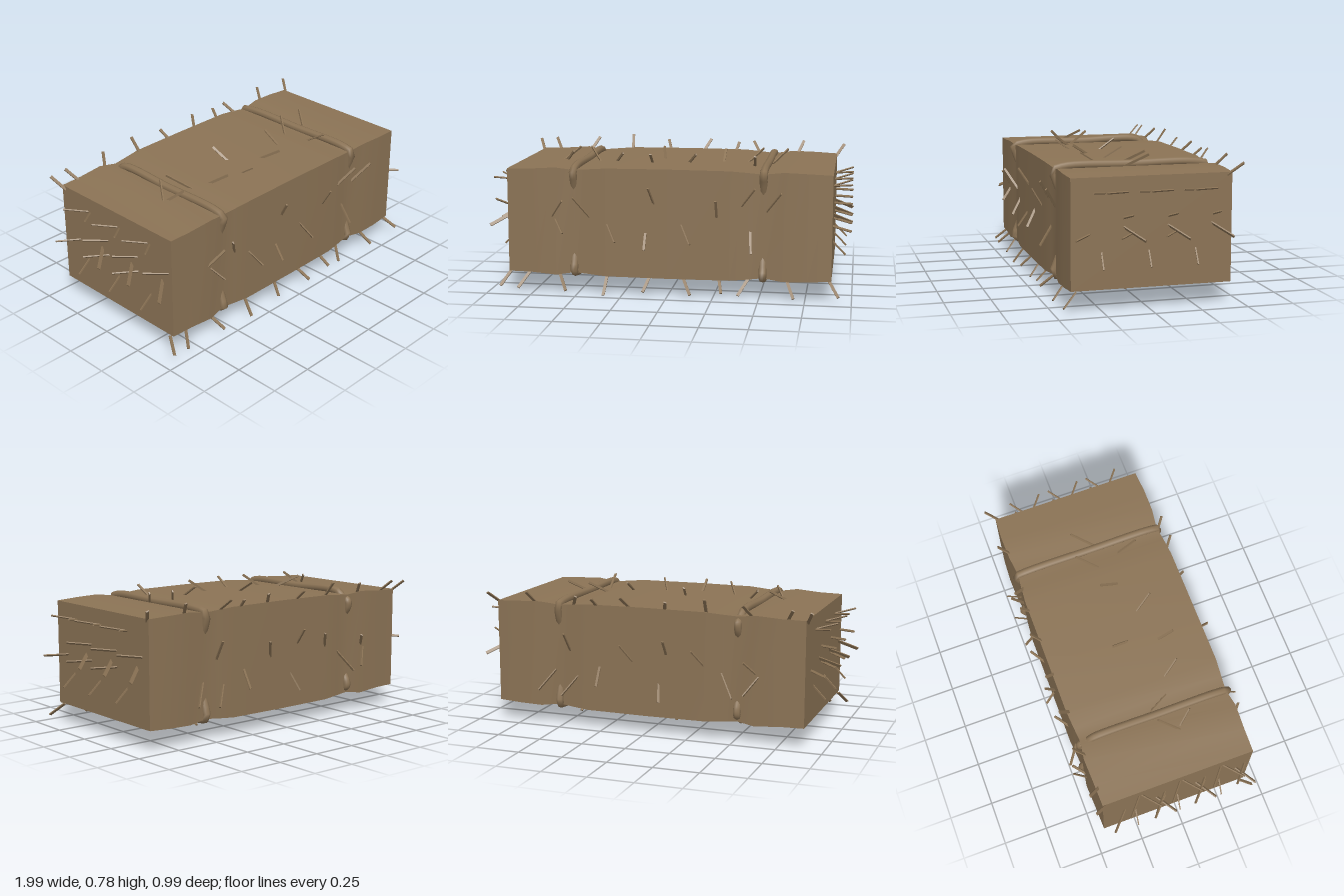
import * as THREE from 'three';
import { mergeGeometries } from 'three/addons/utils/BufferGeometryUtils.js';

const CY = 0.405, CZ = -0.015; // centre of the bale
const UP = new THREE.Vector3(0, 1, 0);

// Bale outline along its length: [x, half height, half depth]
const PROFILE = [
  [-0.89, 0.288, 0.428], [-0.76, 0.29, 0.431], [-0.62, 0.3, 0.436], [-0.52, 0.286, 0.42],
  [-0.44, 0.292, 0.427], [-0.34, 0.3, 0.435], [0, 0.302, 0.435], [0.34, 0.3, 0.435],
  [0.44, 0.292, 0.427], [0.52, 0.284, 0.418], [0.63, 0.298, 0.432], [0.76, 0.294, 0.435], [0.89, 0.288, 0.428],
];

// Straws on a long side: [x, y of one end, x, y of the other], seen from the front
const SIDE_STRAWS = [
  [-0.095, 0.61, -0.07, 0.5], [-0.51, 0.55, -0.43, 0.43], [-0.57, 0.53, -0.65, 0.42],
  [-0.63, 0.43, -0.57, 0.35], [-0.34, 0.41, -0.28, 0.31], [-0.12, 0.37, -0.12, 0.27],
  [0.07, 0.42, 0.13, 0.31], [0.27, 0.55, 0.27, 0.43], [0.48, 0.62, 0.4, 0.51],
  [0.62, 0.6, 0.54, 0.49], [0.45, 0.38, 0.46, 0.27],
];

// Straws on an end, repeated in three columns: [z, y, z, y, width]
const END_STRAWS = [
  [0.32, 0.63, 0.22, 0.605, 0.008], [0.14, 0.63, 0.235, 0.605, 0.008], [0.17, 0.5, 0.07, 0.488, 0.012],
  [0.41, 0.395, 0.3, 0.405, 0.012], [0.05, 0.375, 0.145, 0.44, 0.018],
];

// A thin flat stalk between two points
function straw(a, b, width = 0.013) {
  const p = new THREE.Vector3(...a), q = new THREE.Vector3(...b);
  const dir = q.clone().sub(p);
  const g = new THREE.BoxGeometry(width, dir.length(), 0.007);
  g.applyQuaternion(new THREE.Quaternion().setFromUnitVectors(UP, dir.normalize()));
  return g.translate(...p.add(q).multiplyScalar(0.5).toArray());
}

function baleGeometry() {
  const n = PROFILE.length - 1;
  const g = new THREE.BoxGeometry(n, 2, 2, n, 1, 1);
  const pos = g.attributes.position;
  for (let i = 0; i < pos.count; i++) {
    const [x, h, d] = PROFILE[Math.round(pos.getX(i) + n / 2)];
    pos.setXYZ(i, x, CY + pos.getY(i) * h, CZ + pos.getZ(i) * d);
  }
  g.computeVertexNormals();
  return g;
}

export function createModel() {
  const model = new THREE.Group();
  model.name = 'hayBale';
  const hay = new THREE.MeshStandardMaterial({ color: 0x8b7355 });
  hay.name = 'hay brown';
  const add = (name, geometry) => {
    const mesh = new THREE.Mesh(geometry, hay);
    mesh.name = name;
    model.add(mesh);
    return mesh;
  };

  add('bale', baleGeometry());

  // Twine: visible over the top and bottom, sinking into the front and back
  const twine = (name, x, points) => {
    const path = new THREE.CatmullRomCurve3(points.map(([z, y]) => new THREE.Vector3(x, y, z)), false, 'centripetal');
    add(name, new THREE.TubeGeometry(path, 32, 0.022, 8));
  };
  for (const s of [1, -1]) {
    const y = (d) => CY + s * d;
    const side = s > 0 ? 'top' : 'bottom';
    const front = [[0.375, y(0.16)], [0.405, y(0.24)], [0.415, y(0.275)], [0.35, y(0.296)], [0, y(0.296)]];
    twine(side + 'TwineLeft', 0.52, [...front, [-0.36, y(0.296)], [-0.44, y(0.278)], [-0.437, y(0.24)], [-0.405, y(0.16)]]);
    twine(side + 'TwineRight', -0.52, [...front, [-0.355, y(0.296)], [-0.4, y(0.26)]]);
    twine(side + 'TwineHook', -0.52, [[-0.39, y(0.27)], [-0.437, y(0.25)], [-0.437, y(0.22)], [-0.4, y(0.16)]]);
  }

  // Straws on the four long sides: the same pattern turned about the bale's length
  ['frontStraws', 'topStraws', 'backStraws', 'bottomStraws'].forEach((name, k) => {
    const out = k % 2 ? 0.302 : 0.435;
    const stalks = SIDE_STRAWS.map(([x1, y1, x2, y2]) => {
      const shift = k % 2 ? 0.13 : 0; // lengthwise rows sit off centre on top and bottom
      const a = [x1, y1 - CY - shift, out - 0.015], b = [x2, y2 - CY - shift, out - 0.015];
      (y1 > 0.5 ? a : b)[2] = out + 0.055;
      return straw(a, b);
    });
    const mesh = add(name, mergeGeometries(stalks));
    mesh.rotation.x = -k * Math.PI / 2;
    mesh.position.set(0, CY, CZ);
  });

  // Straws on both ends
  const endStalks = [];
  for (const shift of [0, -0.235, -0.47]) {
    for (const [z1, y1, z2, y2, w] of END_STRAWS) {
      endStalks.push(straw([0.99, y1 - CY, z1 + shift], [0.87, y2 - CY, z2 + shift], w));
    }
  }
  // Lower stalks that droop
  for (const z of [-0.25, 0, 0.25]) endStalks.push(straw([0.87, -0.08, z], [0.96, -0.17, z + 0.01], 0.008));
  for (const [name, turn] of [['leftEndStraws', 0], ['rightEndStraws', Math.PI]]) {
    const mesh = add(name, mergeGeometries(endStalks));
    mesh.rotation.y = turn;
    mesh.position.y = CY;
  }

  // Stalks sticking out along the top back and bottom front edges
  const edge = [-0.89, -0.78, -0.61, -0.34, -0.1, 0.08, 0.28, 0.44, 0.65, 0.88].map((x, i) => {
    const lean = [-0.04, -0.05, 0.05, -0.01, -0.03, 0.05, 0.02, -0.05, 0.04, 0.05][i];
    const reach = i === 3 ? 0.085 : 0.05 + (i % 3) * 0.008;
    return straw([x, 0.27, -0.40], [x + lean, 0.288 + reach, -0.475], 0.016);
  });
  for (const [name, turn] of [['topBackEdgeStraws', 0], ['bottomFrontEdgeStraws', Math.PI]]) {
    const mesh = add(name, mergeGeometries(edge.map((g) => g.clone().rotateX(turn))));
    mesh.position.set(0, turn ? CY - 0.025 : CY, CZ);
  }
  return model;
}
